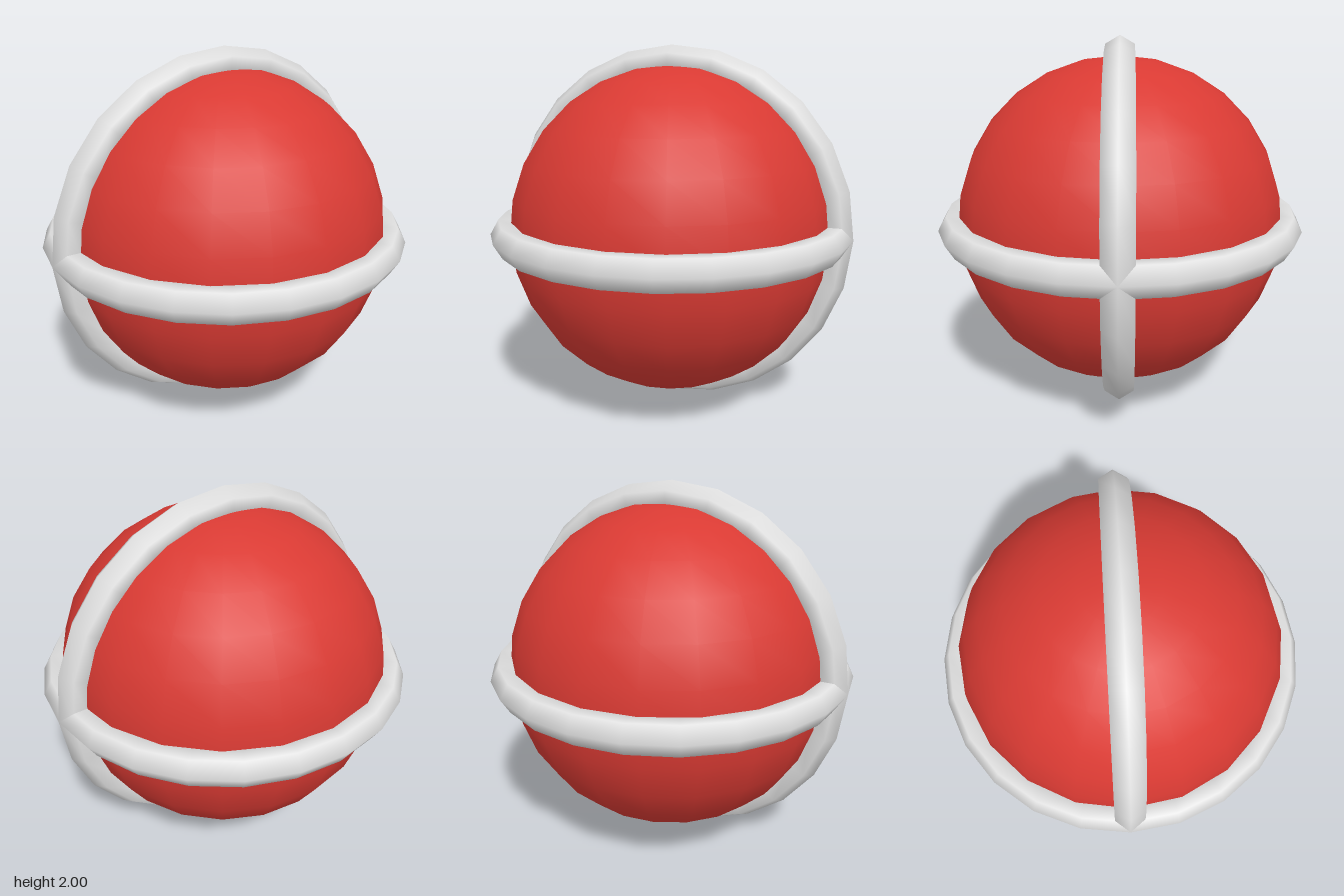
import * as THREE from 'three';

export function createModel() {
  const group = new THREE.Group();
  const red = new THREE.MeshStandardMaterial({ color: 0xd93a33 });
  red.name = 'red';
  const lightGrey = new THREE.MeshStandardMaterial({ color: 0xe0e0e0 });
  lightGrey.name = 'light grey';

  // Ball
  const ball = new THREE.Mesh(new THREE.SphereGeometry(0.895, 20, 14), red);
  ball.name = 'ball';
  ball.position.y = 1;
  group.add(ball);

  // Two crossing six-sided rings: one upright, one around the equator
  const ringGeometry = new THREE.TorusGeometry(0.91, 0.09, 6, 24);
  for (const [name, tilt] of [['uprightRing', 0], ['equatorRing', Math.PI / 2]]) {
    const ring = new THREE.Mesh(ringGeometry, lightGrey);
    ring.name = name;
    ring.position.y = 1;
    ring.rotation.x = tilt;
    group.add(ring);
  }
  return group;
}
